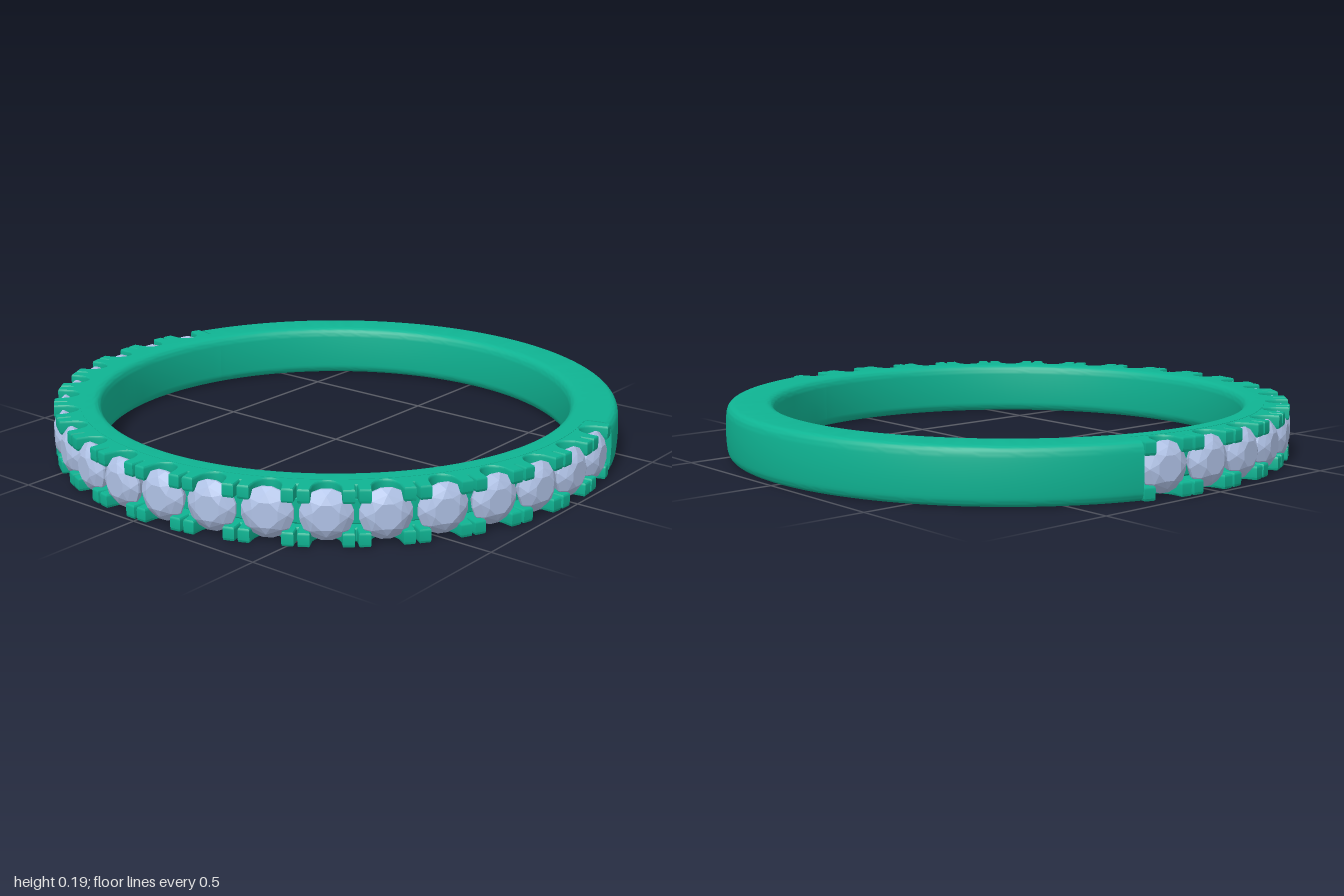
import * as THREE from 'three';
import { toCreasedNormals } from 'three/addons/utils/BufferGeometryUtils.js';
import { ConvexGeometry } from 'three/addons/geometries/ConvexGeometry.js';

const H = 0.187;                            // band height
const R_IN = 0.825, R_OUT = 0.995;          // inner and outer radius
const COUNT = 20;                           // stones
const STEP = THREE.MathUtils.degToRad(10.7);
const HALF = STEP * COUNT / 2;              // the set part spans -HALF..HALF around +z

const metal = new THREE.MeshStandardMaterial({ color: 0x0fb493 });
const metalTwoSided = new THREE.MeshStandardMaterial({ color: 0x0fb493, side: THREE.DoubleSide });
const gem = new THREE.MeshStandardMaterial({ color: 0xb0c2e6 });

function add(parent, name, geometry, material) {
  const mesh = new THREE.Mesh(geometry, material);
  mesh.name = name;
  parent.add(mesh);
  return mesh;
}

// Plain cross-section: slightly bulged sides with rounded corners
function plainProfile() {
  const c = 0.035, s = new THREE.Shape();
  s.moveTo(R_IN + c, 0);
  s.lineTo(R_OUT - c, 0);
  s.quadraticCurveTo(R_OUT - 0.006, 0, R_OUT - 0.003, c);
  s.quadraticCurveTo(R_OUT + 0.003, H / 2, R_OUT - 0.003, H - c);
  s.quadraticCurveTo(R_OUT - 0.006, H, R_OUT - c, H);
  s.lineTo(R_IN + c, H);
  s.quadraticCurveTo(R_IN + 0.004, H, R_IN, H - c);
  s.lineTo(R_IN, c);
  s.quadraticCurveTo(R_IN + 0.004, 0, R_IN + c, 0);
  return s;
}

// Cross-section under the stones: low shoulders and a raised core
function seatProfile() {
  const c = 0.035, low = 0.902, core = 0.93, s = new THREE.Shape();
  s.moveTo(R_IN + c, 0);
  s.lineTo(low, 0);
  s.lineTo(low, 0.04);
  s.lineTo(core, 0.055);
  s.lineTo(core, H - 0.055);
  s.lineTo(low, H - 0.04);
  s.lineTo(low, H);
  s.lineTo(R_IN + c, H);
  s.quadraticCurveTo(R_IN + 0.004, H, R_IN, H - c);
  s.lineTo(R_IN, c);
  s.quadraticCurveTo(R_IN + 0.004, 0, R_IN + c, 0);
  return s;
}

function sweep(profile, start, length) {
  const lathe = new THREE.LatheGeometry(profile.getPoints(8), 96, start, length);
  return toCreasedNormals(lathe, 0.6);
}

// Rim outline with a scallop at each stone and a slit between neighbours
function railShape() {
  const pts = [];
  const put = (r, a) => pts.push(new THREE.Vector2(r * Math.sin(a), -r * Math.cos(a)));
  const slit = 0.006, scoop = 0.047;
  for (let i = 0; i < COUNT; i++) {
    const a0 = -HALF + i * STEP, mid = a0 + STEP / 2;
    put(0.945, a0 + slit * 0.4);
    put(0.99, a0 + slit);
    put(0.99, mid - scoop - 0.003);
    for (let k = 0; k <= 10; k++) {
      const t = Math.PI * k / 10;
      put(0.965 - 0.058 * Math.sin(t), mid - scoop * Math.cos(t));
    }
    put(0.99, mid + scoop + 0.003);
    put(0.99, a0 + STEP - slit);
    put(0.945, a0 + STEP - slit * 0.4);
  }
  for (let i = 0; i <= 80; i++) put(0.87, HALF - 2 * HALF * i / 80);
  return new THREE.Shape(pts);
}

function railGeometry() {
  const bevel = 0.008;
  const g = new THREE.ExtrudeGeometry(railShape(), {
    depth: 0.045 - 2 * bevel, bevelEnabled: true, bevelThickness: bevel,
    bevelSize: 0.003, bevelOffset: -0.003, bevelSegments: 2,
  });
  g.translate(0, 0, bevel);
  g.rotateX(-Math.PI / 2);
  return toCreasedNormals(g, 0.6);
}

// Round brilliant cut; +z is the table
function stoneGeometry() {
  const pts = [];
  const ring = (n, r, z, turn) => {
    for (let k = 0; k < n; k++) {
      const a = (k + turn) / n * Math.PI * 2;
      pts.push(new THREE.Vector3(r * Math.cos(a), r * Math.sin(a), z));
    }
  };
  ring(8, 0.043, 0.034, 0.5);
  ring(8, 0.066, 0.022, 0);
  ring(16, 0.083, 0.004, 0.5);
  ring(16, 0.083, -0.003, 0.5);
  ring(8, 0.066, -0.032, 0);
  ring(8, 0.035, -0.055, 0.5);
  pts.push(new THREE.Vector3(0, 0, -0.062));
  return new ConvexGeometry(pts);
}

export function createModel() {
  const model = new THREE.Group();
  model.name = 'ring';

  // Band: plain back, lowered front
  add(model, 'plainBand', sweep(plainProfile(), HALF, 2 * Math.PI - 2 * HALF), metal);
  add(model, 'settingBand', sweep(seatProfile(), -HALF, 2 * HALF), metal);

  // End walls where the plain band meets the setting
  for (const side of [-1, 1]) {
    const wall = add(model, 'endWall', new THREE.ShapeGeometry(plainProfile(), 8), metalTwoSided);
    wall.rotation.y = side * HALF - Math.PI / 2;
  }

  // Scalloped rails that hold the stones from above and below
  const rail = railGeometry();
  add(model, 'lowerRail', rail, metal).position.y = 0.001;
  add(model, 'upperRail', rail, metal).position.y = H - 0.046;

  // Row of stones
  const stones = new THREE.Group();
  stones.name = 'stones';
  model.add(stones);
  const stone = stoneGeometry();
  for (let i = 0; i < COUNT; i++) {
    const a = -HALF + (i + 0.5) * STEP;
    const mesh = add(stones, 'stone', stone, gem);
    mesh.position.set(0.958 * Math.sin(a), H / 2 + 0.003, 0.958 * Math.cos(a));
    mesh.rotation.y = a;
  }
  return model;
}
